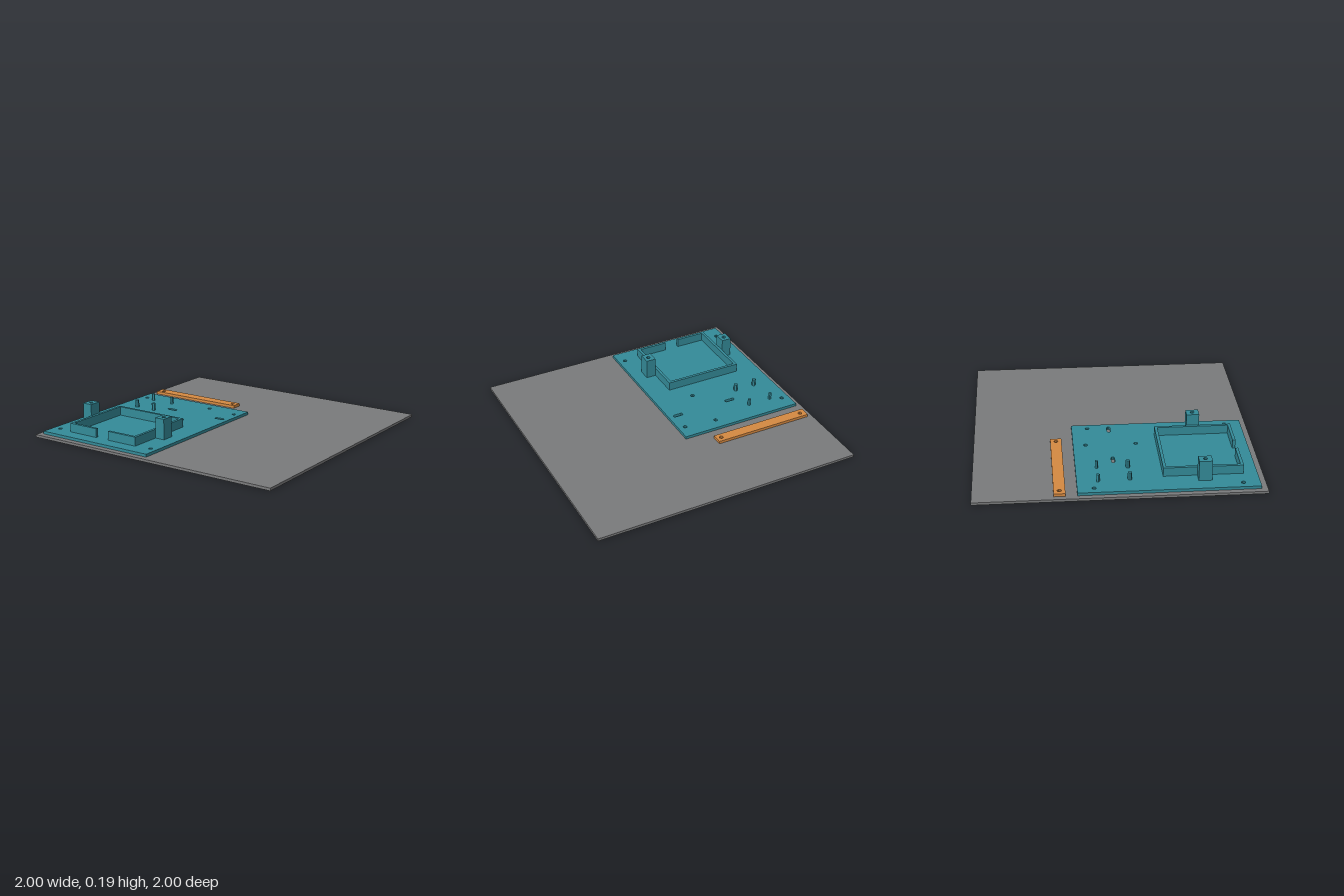
import * as THREE from 'three';

const bedTop = 0.019, plateTop = 0.04, wallTop = 0.105, postTop = 0.19, pinTop = 0.095;

const flat = (name, color) => {
  const m = new THREE.MeshStandardMaterial({ color });
  m.name = name;
  return m;
};

// Outlines are drawn in (x, z); z is negated so the extrusion can be laid flat.
const outline = (points, PathType = THREE.Path) =>
  new PathType(points.map(([x, z]) => new THREE.Vector2(x, -z)));

const rect = (x0, x1, z0, z1) =>
  outline([[x0, z0], [x0, z1], [x1, z1], [x1, z0]], THREE.Shape);

// Faceted round hole, stretched into a slot when halfLength > 0
function hole(x, z, r = 0.015, halfLength = 0) {
  const points = [];
  for (let i = 0; i < 8; i++) {
    const a = (i + 0.5) * Math.PI / 4;
    const c = Math.cos(a);
    points.push([x + c * r + Math.sign(c) * halfLength, z + Math.sin(a) * r]);
  }
  return outline(points);
}

function slab(name, shape, y0, y1, material, holes = []) {
  shape.holes.push(...holes);
  const geometry = new THREE.ExtrudeGeometry(shape, { depth: y1 - y0, bevelEnabled: false });
  geometry.rotateX(-Math.PI / 2);
  geometry.translate(0, y0, 0);
  const mesh = new THREE.Mesh(geometry, material);
  mesh.name = name;
  return mesh;
}

export function createModel() {
  const model = new THREE.Group();
  model.name = 'mountingPlateOnBed';
  const grey = flat('bed grey', 0x7a7b7c);
  const teal = flat('plate teal', 0x348b99);
  const orange = flat('strip orange', 0xd68a42);

  // Square bed
  model.add(slab('bed', rect(-1, 1, -1, 1), 0, bedTop, grey));

  // Loose strip with a hole at each end
  model.add(slab('strip', rect(-0.963, -0.212, -0.45, -0.37), bedTop, plateTop, orange,
    [hole(-0.92, -0.41), hole(-0.25, -0.41)]));

  // Mounting plate with screw holes, cable slots and post holes
  const screwHoles = [
    [-0.907, -0.175], [-0.078, -0.175], [-0.907, 0.84], [-0.078, 0.84],
    [-0.32, -0.2], [-0.32, 0.16], [-0.828, 0.585], [-0.158, 0.585],
  ].map(([x, z]) => hole(x, z));
  const slots = [-0.54, -0.102].map((x) => hole(x, -0.02, 0.0135, 0.026));
  model.add(slab('plate', rect(-0.963, -0.025, -0.29, 0.957), bedTop, plateTop, teal,
    [...screwHoles, ...slots]));

  // Tray wall, open in the middle of the front
  const wall = outline([
    [-0.55, 0.86], [-0.79, 0.86], [-0.79, 0.305], [-0.197, 0.305], [-0.197, 0.86], [-0.44, 0.86],
    [-0.44, 0.839], [-0.218, 0.839], [-0.218, 0.326], [-0.769, 0.326], [-0.769, 0.839], [-0.55, 0.839],
  ], THREE.Shape);
  model.add(slab('trayWall', wall, plateTop, wallTop, teal));

  // Drilled posts beside the tray
  for (const [name, x0, x1, hx] of [
    ['rightPost', -0.865, -0.79, -0.828], ['leftPost', -0.197, -0.122, -0.158],
  ]) {
    model.add(slab(name, rect(x0, x1, 0.54, 0.632), plateTop, postTop, teal, [hole(hx, 0.585)]));
  }

  // Locating pins
  for (const [x, z, r, sides] of [
    [-0.82, -0.143, 0.012, 5], [-0.64, -0.143, 0.012, 5],
    [-0.808, 0.075, 0.015, 6], [-0.648, 0.075, 0.015, 6],
  ]) {
    const pin = new THREE.CylinderGeometry(r, r, pinTop - plateTop, sides).toNonIndexed();
    pin.computeVertexNormals();
    const mesh = new THREE.Mesh(pin, teal);
    mesh.name = 'locatingPin';
    mesh.position.set(x, (pinTop + plateTop) / 2, z);
    model.add(mesh);
  }
  return model;
}
